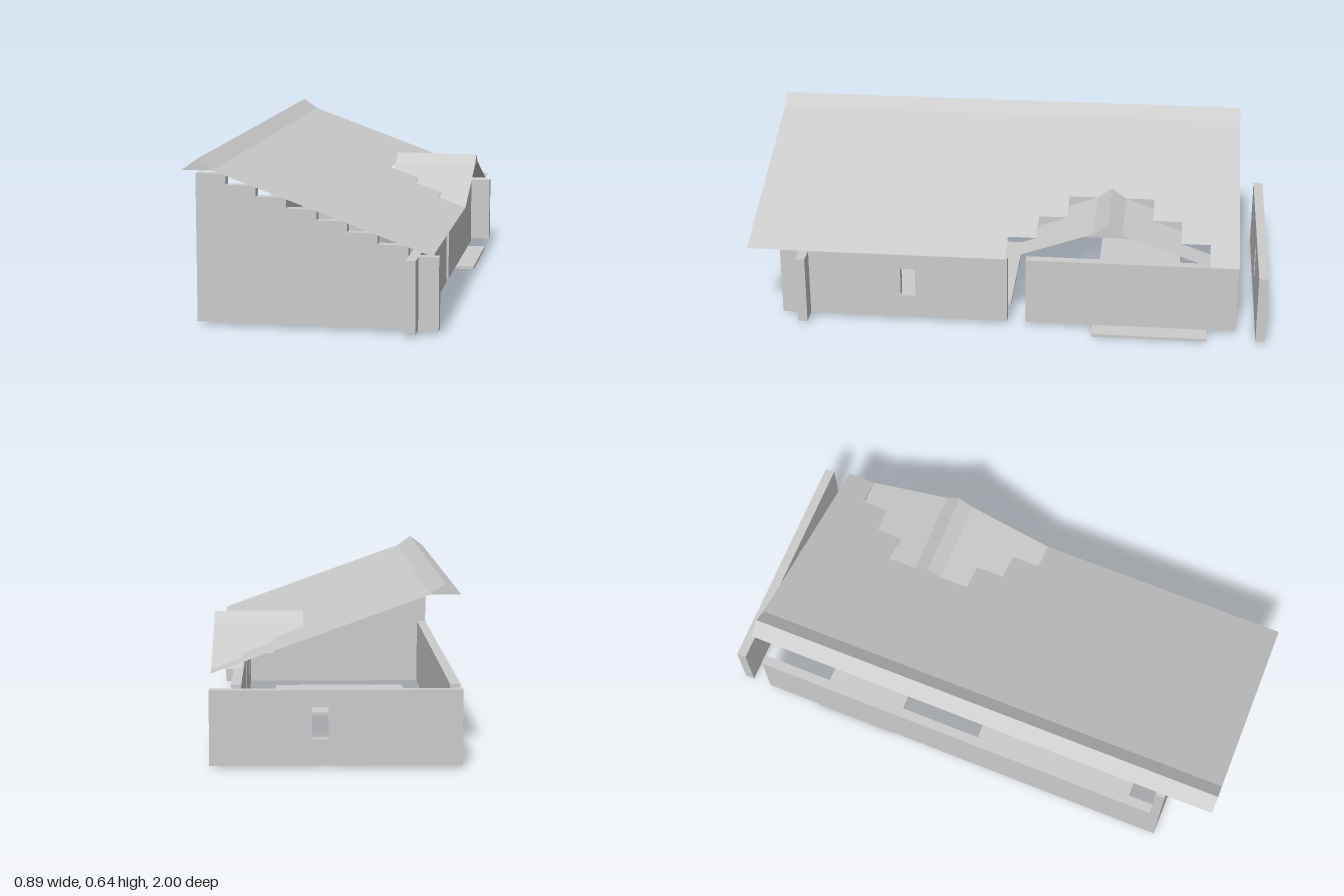
import * as THREE from 'three';

const T = 1 / 9;        // tile size
const RISE = 0.04;      // roof rise per tile
const THICK = 0.037;    // wall thickness
const BASE = 0.012;     // wall foot
const WALL_TOP = 0.28;

const grey = new THREE.MeshStandardMaterial({ color: 0xcccccc, side: THREE.DoubleSide, flatShading: true });

function add(parent, name, geometry) {
  const mesh = new THREE.Mesh(geometry, grey);
  mesh.name = name;
  parent.add(mesh);
  return mesh;
}

// Box given by its limits
function box(parent, name, x0, x1, y0, y1, z0, z1) {
  const mesh = add(parent, name, new THREE.BoxGeometry(x1 - x0, y1 - y0, z1 - z0));
  mesh.position.set((x0 + x1) / 2, (y0 + y1) / 2, (z0 + z1) / 2);
  return mesh;
}

// Open surface from polygons with three or four corners
function sheet(parent, name, polygons) {
  const pos = [];
  for (const p of polygons) {
    for (let i = 1; i < p.length - 1; i++) pos.push(...p[0], ...p[i], ...p[i + 1]);
  }
  const g = new THREE.BufferGeometry();
  g.setAttribute('position', new THREE.Float32BufferAttribute(pos, 3));
  g.computeVertexNormals();
  return add(parent, name, g);
}

// Wall along its own x axis with one window centred at windowAt
function windowWall(parent, name, length, windowAt) {
  const s = new THREE.Shape();
  s.moveTo(0, BASE).lineTo(length, BASE).lineTo(length, WALL_TOP).lineTo(0, WALL_TOP).closePath();
  const h = new THREE.Path();
  const a = windowAt - 0.029, b = windowAt + 0.029;
  h.moveTo(a, 0.105).lineTo(a, 0.22).lineTo(b, 0.22).lineTo(b, 0.105).closePath();
  s.holes.push(h);
  return add(parent, name, new THREE.ExtrudeGeometry(s, { depth: THICK, bevelEnabled: false }));
}

// Row of hollow ridge tiles along +x, each closed by triangular ends
function ridge(parent, name, count) {
  const polys = [];
  const w = T / 2;
  for (let i = 0; i < count; i++) {
    const a = i * T, b = a + T;
    polys.push([[a, 0, w], [b, 0, w], [b, RISE, 0], [a, RISE, 0]]);
    polys.push([[b, 0, -w], [a, 0, -w], [a, RISE, 0], [b, RISE, 0]]);
    polys.push([[a, 0, -w], [a, 0, w], [a, RISE, 0]]);
    polys.push([[b, 0, w], [b, 0, -w], [b, RISE, 0]]);
  }
  return sheet(parent, name, polys);
}

export function createModel() {
  const model = new THREE.Group();
  model.name = 'building';

  // Stepped front wall
  const s = new THREE.Shape();
  s.moveTo(-4 * T, BASE);
  for (let i = 0; i < 8; i++) {
    const y = 0.56 - i * RISE;
    s.lineTo((i - 4) * T, y).lineTo((i - 3) * T, y);
  }
  s.lineTo(4 * T, BASE).closePath();
  add(model, 'frontWall', new THREE.ExtrudeGeometry(s, { depth: THICK, bevelEnabled: false })).position.z = 7 * T;

  // Back wall and window side wall
  windowWall(model, 'backWall', 8 * T, 4.5 * T).position.set(-4 * T, 0, -1);
  const side = windowWall(model, 'windowSideWall', 8 * T, 4.5 * T);
  side.rotation.y = Math.PI / 2;
  side.position.set(3 * T, 0, 8 * T);

  // Plain side walls, leaving the doorway open
  box(model, 'plainSideWall', 3 * T, 3 * T + THICK, BASE, WALL_TOP, -8 * T, -0.072);
  box(model, 'longSideWall', -4 * T, -4 * T + THICK, BASE, WALL_TOP, -8 * T, 7 * T);

  // Floor slabs
  box(model, 'frontFloor', -3 * T, 2 * T, 0, BASE, 0, 6 * T);
  box(model, 'backFloorLeft', 2 * T, 4 * T, 0, BASE, -7 * T, -3 * T);
  box(model, 'backFloorRight', -4 * T, -T, 0, BASE, -6 * T, -3 * T);

  // Main roof slope, one strip per tile row, cut back in steps round the dormer
  const roofY = x => 0.6 - (x / T + 3) * RISE;
  const strips = [];
  for (let k = -8; k < 9; k++) {
    const off = Math.abs(k + 4);                 // rows away from dormer ridge
    const end = (off > 3 ? 4 : Math.max(off, 1)) * T;
    const z0 = k * T, z1 = z0 + T, y = roofY(end);
    strips.push([[-3 * T, 0.6, z0], [-3 * T, 0.6, z1], [end, y, z1], [end, y, z0]]);
  }
  sheet(model, 'mainRoof', strips);

  // Main ridge
  const main = ridge(model, 'mainRidge', 17);
  main.rotation.y = -Math.PI / 2;
  main.position.set(-3.5 * T, 0.6, -8 * T);

  // Dormer: ridge and two stepped slopes
  const dormer = new THREE.Group();
  dormer.name = 'dormer';
  dormer.position.set(0, 0.44, -3.5 * T);
  model.add(dormer);
  ridge(dormer, 'dormerRidge', 3).position.x = T;
  for (const sign of [1, -1]) {
    const rows = [];
    for (let i = 0; i < 3; i++) {
      const x0 = (i + 1) * T, x1 = 4 * T;
      const z0 = sign * (i + 0.5) * T, z1 = sign * (i + 1.5) * T;
      const y0 = -i * RISE, y1 = y0 - RISE;
      const p = [[x0, y0, z0], [x0, y1, z1], [x1, y1, z1], [x1, y0, z0]];
      rows.push(sign > 0 ? p : p.reverse());
    }
    sheet(dormer, sign > 0 ? 'dormerFrontSlope' : 'dormerBackSlope', rows);
  }
  return model;
}
